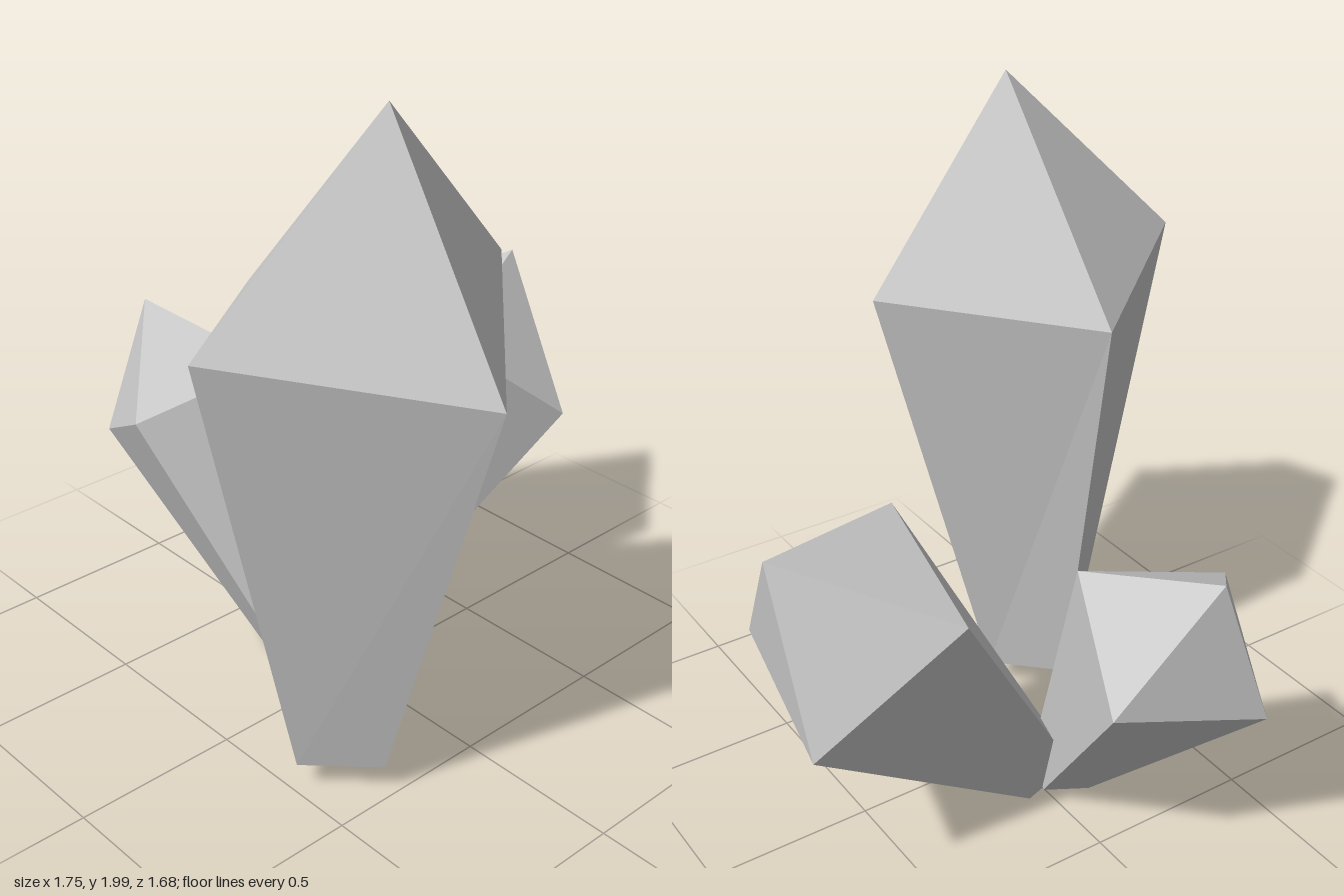
import * as THREE from 'three';

const material = new THREE.MeshStandardMaterial({ color: 0xcccccc, flatShading: true });

// Four-sided crystal: base and shoulder rings run counterclockwise seen from above.
function crystal(name, base, shoulder, apex) {
  const positions = [];
  const tri = (a, b, c) => positions.push(...a, ...b, ...c);
  for (let i = 0; i < 4; i++) {
    const j = (i + 1) % 4;
    // tapered side
    tri(base[i], base[j], shoulder[j]);
    tri(base[i], shoulder[j], shoulder[i]);
    // pointed tip
    tri(shoulder[i], shoulder[j], apex);
  }
  // flat base
  tri(base[0], base[2], base[1]);
  tri(base[0], base[3], base[2]);

  const geometry = new THREE.BufferGeometry();
  geometry.setAttribute('position', new THREE.Float32BufferAttribute(positions, 3));
  geometry.computeVertexNormals();
  const mesh = new THREE.Mesh(geometry, material);
  mesh.name = name;
  return mesh;
}

// Four corners at +a, +b, -a, -b around a centre.
function ring(centre, a, b, scale = 1) {
  return [[a, 1], [b, 1], [a, -1], [b, -1]].map(([v, sign]) =>
    centre.map((c, k) => c + v[k] * sign * scale));
}

export function createModel() {
  const group = new THREE.Group();
  group.name = 'crystalCluster';

  // Tall upright crystal with a skewed shoulder
  group.add(crystal('tallCrystal',
    ring([0.31, 0.1, 0.323], [0.173, 0, 0], [0, 0, -0.173]),
    [[0.87, 1.35, 0.32], [0.36, 1.46, -0.2], [-0.06, 1.39, 0.32], [0.36, 1.46, 0.84]],
    [0.47, 2, 0.32]));

  // Crystal leaning to the back
  const backA = [0.205, 0.205, 0.245], backB = [0.315, -0.125, -0.16];
  group.add(crystal('backCrystal',
    ring([-0.165, 0.073, 0.015], backA, backB, 0.31),
    ring([-0.175, 0.815, -0.597], backA, backB),
    [-0.18, 1.12, -0.845]));

  // Crystal leaning to the side
  const sideA = [0.125, 0.055, 0.287], sideB = [0.24, 0.155, -0.14];
  group.add(crystal('sideCrystal',
    ring([-0.21, 0.062, 0.067], sideA, sideB, 0.33),
    ring([-0.635, 0.755, 0.112], sideA, sideB),
    [-0.81, 1.035, 0.13]));

  return group;
}
